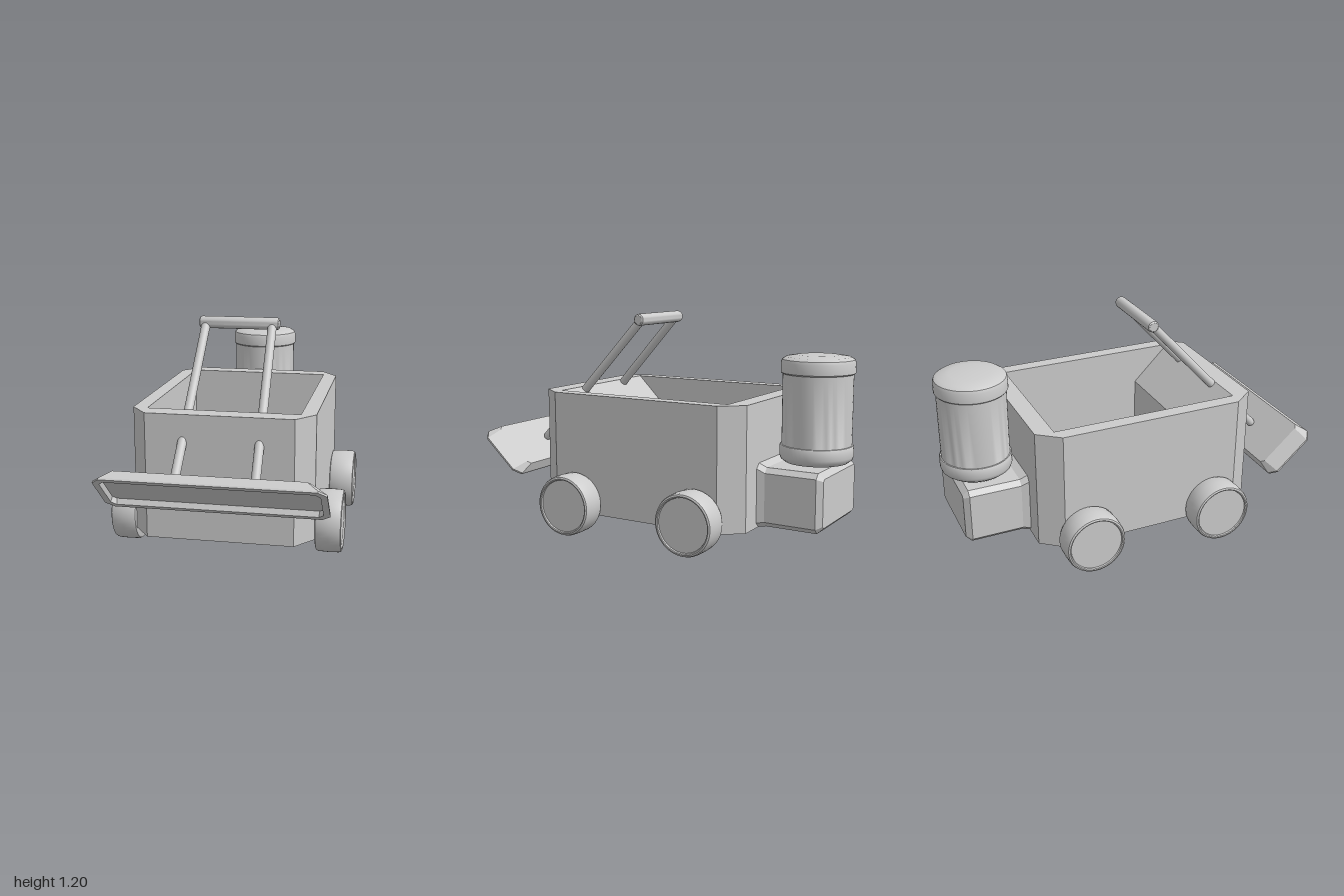
import * as THREE from 'three';
import { toCreasedNormals } from 'three/addons/utils/BufferGeometryUtils.js';

const grey = new THREE.MeshStandardMaterial({ color: 0xcccccc });
const V = (x, y, z) => new THREE.Vector3(x, y, z);

function add(parent, name, geometry) {
  const mesh = new THREE.Mesh(geometry, grey);
  mesh.name = name;
  parent.add(mesh);
  return mesh;
}

// Rectangle with cut corners, counter-clockwise in xy, at depth z
function ring(hw, hh, cut, z, cx = 0, cy = 0) {
  return [
    [hw - cut, -hh], [hw, -hh + cut], [hw, hh - cut], [hw - cut, hh],
    [-hw + cut, hh], [-hw, hh - cut], [-hw, -hh + cut], [-hw + cut, -hh],
  ].map(([x, y]) => [x + cx, y + cy, z]);
}

// Flat-shaded solid through successive rings, capped at both ends
function loft(rings) {
  const n = rings[0].length, index = [];
  for (let r = 0; r < rings.length - 1; r++) {
    for (let i = 0; i < n; i++) {
      const a = r * n + i, b = r * n + (i + 1) % n;
      index.push(a, b, b + n, a, b + n, a + n);
    }
  }
  const last = (rings.length - 1) * n;
  for (let i = 1; i < n - 1; i++) {
    index.push(0, i + 1, i, last, last + i, last + i + 1);
  }
  let g = new THREE.BufferGeometry();
  g.setAttribute('position', new THREE.Float32BufferAttribute(rings.flat(2), 3));
  g.setIndex(index);
  g = g.toNonIndexed();
  g.computeVertexNormals();
  return g;
}

function lathe(points, segments = 48) {
  const profile = points.map(([r, y]) => new THREE.Vector2(r, y));
  return toCreasedNormals(new THREE.LatheGeometry(profile, segments), 0.6);
}

// Round-ended rod between two points
function rod(parent, name, a, b, radius) {
  const dir = b.clone().sub(a);
  const mesh = add(parent, name, new THREE.CapsuleGeometry(radius, dir.length(), 6, 20));
  mesh.position.copy(a).add(b).multiplyScalar(0.5);
  mesh.quaternion.setFromUnitVectors(V(0, 1, 0), dir.normalize());
}

// Upright prism from a plan outline given as [x, z] pairs
function prism(outline, hole, y0, y1) {
  const pts = (list) => list.map(([x, z]) => new THREE.Vector2(x, -z));
  const shape = new THREE.Shape(pts(outline));
  if (hole) shape.holes.push(new THREE.Path(pts(hole)));
  const g = new THREE.ExtrudeGeometry(shape, { depth: y1 - y0, bevelEnabled: false });
  return g.rotateX(-Math.PI / 2).translate(0, y0, 0);
}

export function createModel() {
  const model = new THREE.Group();
  model.name = 'cart';

  // Open tub with cut corners, a floor and a sloping front inside
  const tub = new THREE.Group();
  tub.name = 'tub';
  model.add(tub);
  const plan = [
    [-0.385, 0.67], [0.385, 0.67], [0.478, 0.55], [0.478, -0.47],
    [0.385, -0.59], [-0.385, -0.59], [-0.478, -0.47], [-0.478, 0.55],
  ];
  const opening = [[-0.4, 0.56], [-0.4, -0.49], [0.4, -0.49], [0.4, 0.56]];
  add(tub, 'tubWalls', prism(plan, opening, 0.19, 0.773));
  add(tub, 'tubFloor', prism(plan, null, 0.108, 0.19));
  const slope = new THREE.Shape(
    [[0.345, 0.19], [0.56, 0.19], [0.56, 0.773], [0.345, 0.56]].map(([z, y]) => new THREE.Vector2(z, y)));
  add(tub, 'innerSlope', new THREE.ExtrudeGeometry(slope, { depth: 0.8, bevelEnabled: false })
    .rotateY(-Math.PI / 2).translate(0.4, 0, 0));

  // Wheels with rounded edges and a shallow recessed hub face
  const wheel = lathe([
    [0, 0], [0.15, 0], [0.161, 0.004], [0.166, 0.015], [0.168, 0.07], [0.166, 0.122],
    [0.161, 0.134], [0.152, 0.138], [0.146, 0.136], [0.143, 0.128], [0, 0.128],
  ]);
  for (const side of [1, -1]) {
    for (const [end, z] of [['front', 0.41], ['rear', -0.345]]) {
      const w = add(model, end + (side > 0 ? 'Left' : 'Right') + 'Wheel', wheel);
      w.rotation.z = -side * Math.PI / 2;
      w.position.set(side * 0.477, 0.17, z);
    }
  }

  // Bevelled box on the back, flaring where it meets the tub
  add(model, 'rearBox', loft([
    ring(0.225, 0.129, 0.012, -0.945, 0, 0.272),
    ring(0.252, 0.158, 0.027, -0.915, 0, 0.272),
    ring(0.252, 0.158, 0.027, -0.63, 0, 0.272),
    ring(0.264, 0.172, 0.027, -0.59, 0, 0.28),
  ]));

  // Canister with rounded base and cap
  add(model, 'canister', lathe([
    [0, 0.43], [0.13, 0.433], [0.17, 0.441], [0.19, 0.457], [0.196, 0.475], [0.196, 0.526],
    [0.192, 0.532], [0.186, 0.533], [0.186, 0.908], [0.192, 0.91], [0.196, 0.915],
    [0.196, 0.968], [0.19, 0.984], [0.17, 0.997], [0.11, 1.006], [0, 1.01],
  ])).position.set(-0.016, 0, -0.805);

  // Push arms through the front wall, joined by a handle bar
  rod(model, 'rightArm', V(-0.176, 1.15, 0.182), V(-0.195, 0.46, 0.82), 0.024);
  rod(model, 'leftArm', V(0.188, 1.15, 0.182), V(0.212, 0.46, 0.82), 0.024);
  const bar = add(model, 'handleBar', lathe([
    [0, -0.218], [0.024, -0.218], [0.031, -0.213], [0.033, -0.205],
    [0.033, 0.205], [0.031, 0.213], [0.024, 0.218], [0, 0.218],
  ], 24));
  bar.rotation.z = Math.PI / 2;
  bar.position.set(0.008, 1.17, 0.162);

  // Tilted front blade: bevelled tray hollowed on its underside
  const blade = add(model, 'frontBlade', loft([
    ring(0.537, 0.125, 0.02, 0.03),
    ring(0.54, 0.133, 0.025, 0),
    ring(0.573, 0.163, 0.042, 0),
    ring(0.573, 0.163, 0.042, 0.01),
    ring(0.495, 0.145, 0.02, 0.06),
  ]));
  blade.rotation.x = Math.PI + 0.837;
  blade.position.set(0.007, 0.404, 0.878);

  return model;
}
